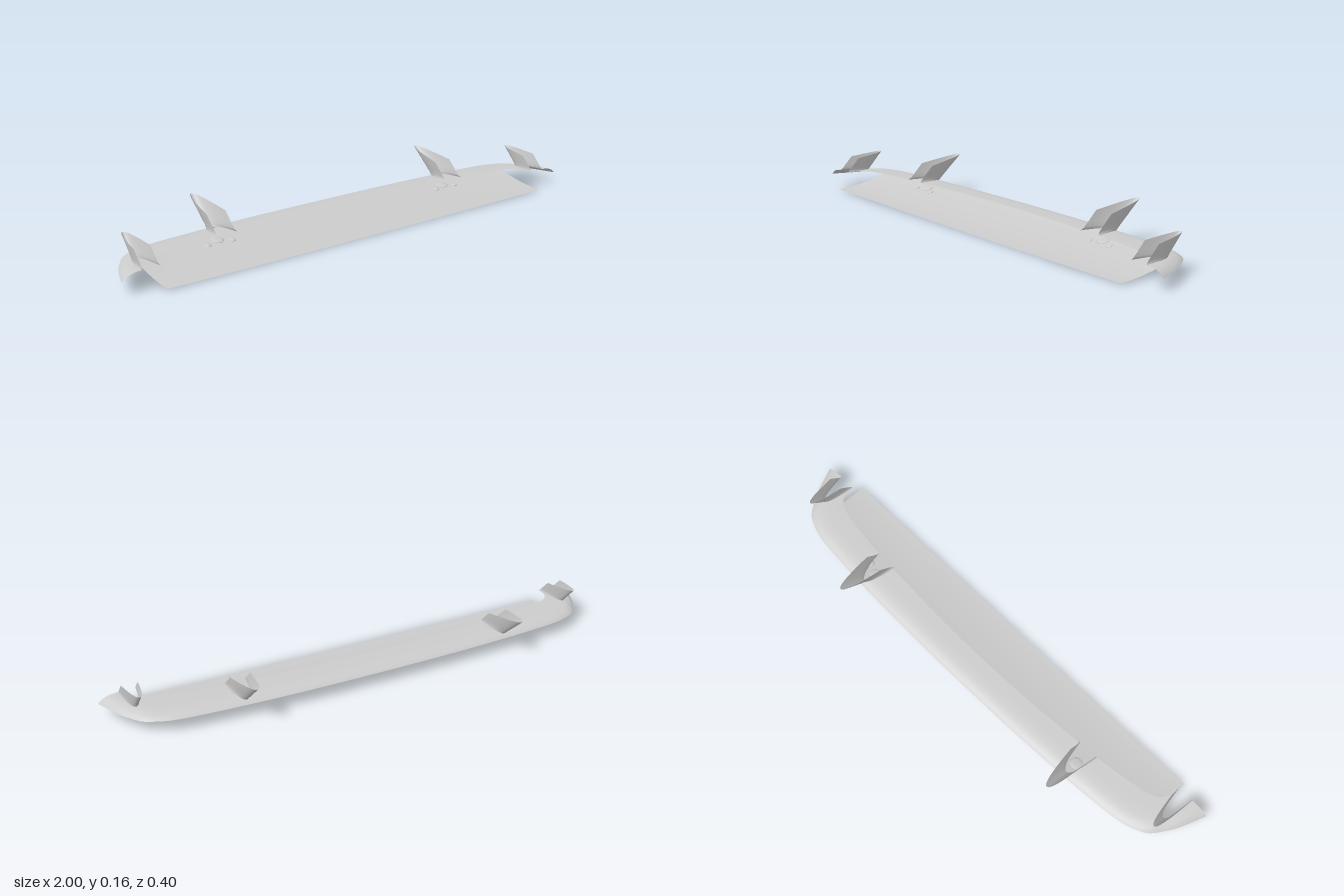
import * as THREE from 'three';

const mat = new THREE.MeshStandardMaterial({ color: 0xcccccc, side: THREE.DoubleSide });

// Smooth curve z(x) through a few points
function smooth(pts) {
  const slope = (i) => {
    const a = pts[Math.max(0, i - 1)], b = pts[Math.min(pts.length - 1, i + 1)];
    return i === 0 ? 0 : (b[1] - a[1]) / (b[0] - a[0]);
  };
  return (x) => {
    let i = 0;
    while (i < pts.length - 2 && x > pts[i + 1][0]) i++;
    const [x0, z0] = pts[i], [x1, z1] = pts[i + 1];
    const h = x1 - x0, t = Math.min(1, (x - x0) / h), t2 = t * t, t3 = t2 * t;
    return z0 * (2 * t3 - 3 * t2 + 1) + z1 * (3 * t2 - 2 * t3)
      + h * (slope(i) * (t3 - 2 * t2 + t) + slope(i + 1) * (t3 - t2));
  };
}

// Rear rim and inner front edge of the upper skin
const rim = smooth([[0, -0.115], [0.3, -0.112], [0.535, -0.103], [0.7, -0.092], [0.8, -0.08],
  [0.865, -0.058], [0.9, -0.035], [0.93, 0.005], [0.96, 0.055], [1, 0.152]]);
const inner = smooth([[0, 0.005], [0.25, 0.01], [0.5, 0.025], [0.6, 0.032], [0.75, 0.052],
  [0.81, 0.065], [0.84, 0.083], [0.857, 0.108], [0.865, 0.14]]);

// Fins: U-shaped shells raked to the rear over slots in the upper skin
const fins = [
  { name: 'innerFin', x: 0.535, foot: 0.045, w: 0.038, open: 0.033, apex: -0.085,
    topOpen: -0.03, topApex: -0.197, yOpen: 0.133, yApex: 0.161 },
  { name: 'outerFin', x: 0.895, foot: 0.034, w: 0.03, open: 0.155, apex: 0.035,
    topOpen: 0.102, topApex: -0.03, yOpen: 0.125, yApex: 0.14 },
];
const uShape = (u) => Math.pow(Math.abs(u), 2.2);

function skinHeight(x, z) {
  const a = Math.abs(x);
  const m = (rim(Math.min(1, a + 0.005)) - rim(a - 0.005)) / 0.01;
  const d = Math.max(0, z - rim(a)) / Math.sqrt(1 + m * m);
  const tip = Math.max(0, (a - 0.865) / 0.135);
  const base = 0.05 - 0.007 * tip;
  return base + (0.07 - base) * (1 - Math.exp(-d / 0.022));
}

function skinFront(a) {
  for (const f of fins) {
    const u = (a - f.x) / f.foot;
    if (Math.abs(u) < 1) return f.apex + (f.open - f.apex) * uShape(u);
  }
  return a > 0.87 ? Math.max(0.155, rim(a)) : inner(Math.min(a, 0.865));
}

function lowerHeight(x, z) {
  const a = Math.abs(x), r = rim(a), t = (z - r) / (0.2 - r);
  return 0.05 * Math.pow(Math.max(0, 1 - t), 1.6) + 0.004 * t * (a / 0.865) ** 2;
}

// Sheet of rows and columns, point(i, j) giving each corner
function sheet(name, cols, rows, point) {
  const pos = [], idx = [];
  for (let i = 0; i <= cols; i++) {
    for (let j = 0; j <= rows; j++) {
      pos.push(...point(i, j));
      if (i < cols && j < rows) {
        const a = i * (rows + 1) + j, b = a + rows + 1;
        idx.push(a, a + 1, b, b, a + 1, b + 1);
      }
    }
  }
  const g = new THREE.BufferGeometry();
  g.setAttribute('position', new THREE.Float32BufferAttribute(pos, 3));
  g.setIndex(idx);
  g.computeVertexNormals();
  const mesh = new THREE.Mesh(g, mat);
  mesh.name = name;
  return mesh;
}

// Column positions, closely paired at the slot edges
function skinColumns() {
  const half = [];
  for (let i = 1; i <= 120; i++) half.push(i / 120);
  for (const f of fins) {
    for (let k = -8; k <= 8; k++) half.push(f.x + f.foot * k / 8.001);
    half.push(f.x - f.foot - 1e-5, f.x + f.foot + 1e-5);
  }
  half.sort((a, b) => a - b);
  return [...half.map((x) => -x).reverse(), 0, ...half];
}

function makeFin(f, side) {
  const levels = [0, 0.06, 0.14, 0.4, 0.7, 1];
  return sheet(f.name, 32, levels.length - 1, (i, j) => {
    const u = i / 16 - 1, v = levels[j], k = uShape(u);
    const half = THREE.MathUtils.lerp(f.foot, f.w, Math.min(1, v / 0.14));
    const z0 = f.apex + (f.open - f.apex) * k;
    const z1 = f.topApex + (f.topOpen - f.topApex) * k;
    const y0 = skinHeight(f.x + u * f.foot, z0);
    const y1 = f.yApex + (f.yOpen - f.yApex) * k;
    return [side * (f.x + u * half), y0 + (y1 - y0) * v, z0 + (z1 - z0) * v];
  });
}

export function createModel() {
  const group = new THREE.Group();

  // Upper skin with rounded rear rim and swept tips
  const xs = skinColumns();
  group.add(sheet('upperSkin', xs.length - 1, 14, (i, j) => {
    const x = xs[i], a = Math.abs(x), r = rim(a);
    const z = r + (skinFront(a) - r) * Math.pow(j / 14, 1.6);
    return [x, skinHeight(x, z), z];
  }));

  // Lower plate sloping down to the front edge
  group.add(sheet('lowerPlate', 80, 16, (i, j) => {
    const x = (i / 40 - 1) * 0.865, r = rim(Math.abs(x));
    const z = r + (0.2 - r) * j / 16;
    return [x, lowerHeight(x, z), z];
  }));

  // Fins and the mounting bosses beneath the inner pair
  const boss = new THREE.SphereGeometry(1, 20, 10);
  for (const side of [-1, 1]) {
    for (const f of fins) group.add(makeFin(f, side));
    for (const [dx, z, r] of [[0, -0.03, 0.024], [-0.05, -0.01, 0.013], [0.05, -0.01, 0.013]]) {
      const x = side * (0.535 + dx);
      const m = new THREE.Mesh(boss, mat);
      m.name = 'mountingBoss';
      m.scale.set(r, 0.004, r);
      m.position.set(x, lowerHeight(x, z), z);
      m.rotation.x = 0.2;
      group.add(m);
    }
  }
  return group;
}
